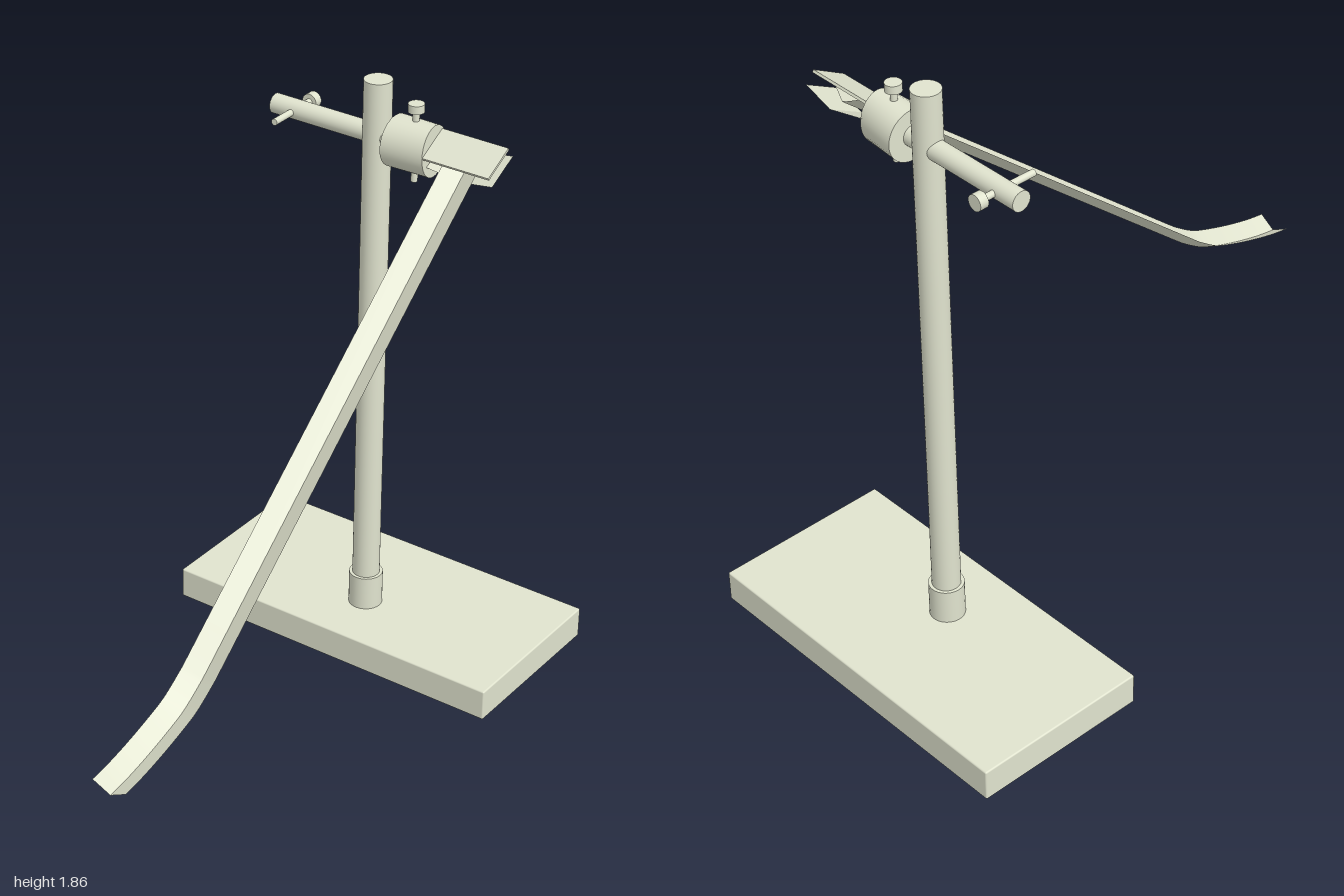
import * as THREE from 'three';
import { RoundedBoxGeometry } from 'three/addons/geometries/RoundedBoxGeometry.js';

const POST_X = 0.64, ARM_Y = 1.69;

export function createModel() {
  const model = new THREE.Group();
  const metal = new THREE.MeshStandardMaterial({ color: 0xe0e3ce });
  const sheetMetal = new THREE.MeshStandardMaterial({ color: 0xe0e3ce, side: THREE.DoubleSide });

  function add(name, geometry, x = 0, y = 0, z = 0, material = metal, parent = model) {
    const mesh = new THREE.Mesh(geometry, material);
    mesh.name = name;
    mesh.position.set(x, y, z);
    parent.add(mesh);
    return mesh;
  }
  const cylinder = (r, length) => new THREE.CylinderGeometry(r, r, length, 32);

  // Sweeps a folded section [z, drop] along a path of [x, y]; folds stay sharp
  function foldedSheet(name, path, section) {
    const group = new THREE.Group();
    group.name = name;
    const normals = path.map((p, i) => {
      const a = path[Math.max(i - 1, 0)], b = path[Math.min(i + 1, path.length - 1)];
      const dx = b[0] - a[0], dy = b[1] - a[1], l = Math.hypot(dx, dy);
      return [-dy / l, dx / l];
    });
    for (let s = 0; s < section.length - 1; s++) {
      const positions = [], index = [];
      path.forEach(([x, y], i) => {
        for (const [z, drop] of [section[s], section[s + 1]])
          positions.push(x - normals[i][0] * drop, y - normals[i][1] * drop, z);
        const k = i * 2;
        if (i < path.length - 1) index.push(k, k + 1, k + 2, k + 1, k + 3, k + 2);
      });
      const geometry = new THREE.BufferGeometry();
      geometry.setAttribute('position', new THREE.Float32BufferAttribute(positions, 3));
      geometry.setIndex(index);
      geometry.computeVertexNormals();
      add(name + 'Side', geometry, 0, 0, 0, sheetMetal, group);
    }
    model.add(group);
  }

  // Screw with its head at the top, pointing down; origin at the shaft centre line
  function screw(name, top, bottom, headHeight) {
    const group = new THREE.Group();
    group.name = name;
    add('screwHead', cylinder(0.024, headHeight), 0, top - headHeight / 2, 0, metal, group);
    add('screwShank', cylinder(0.01, top - bottom - 0.01), 0, (top + bottom) / 2 - 0.005, 0, metal, group);
    model.add(group);
    return group;
  }

  // Stand
  add('base', new RoundedBoxGeometry(0.555, 0.1, 1.126, 2, 0.005), 0.7175, 0.05, 0);
  add('post', cylinder(0.042, 1.76), POST_X, 0.98, 0);
  add('postCollar', cylinder(0.052, 0.11), POST_X, 0.155, 0);

  // Cross arm and its locking screw
  add('crossArm', cylinder(0.03, 0.43), POST_X, ARM_Y, -0.14).rotation.x = Math.PI / 2;
  const armScrew = screw('armScrew', 0.09, -0.11, 0.027);
  armScrew.rotation.z = -Math.PI / 2;
  armScrew.position.set(POST_X, ARM_Y, -0.28);

  // Clamp barrel, narrowing sideways toward the jaws
  const barrel = cylinder(0.079, 0.132).rotateX(Math.PI / 2);
  const p = barrel.attributes.position;
  for (let i = 0; i < p.count; i++)
    if (p.getZ(i) > 0) p.setX(i, p.getX(i) * 0.8);
    else p.setY(i, p.getY(i) * 0.97);
  barrel.computeVertexNormals();
  add('clampBarrel', barrel, POST_X, ARM_Y, 0.128);
  screw('clampScrew', 0.13, -0.11, 0.025).position.set(POST_X, ARM_Y, 0.13);

  // Jaws gripping the ramp
  const upperJaw = add('upperJaw', new THREE.BoxGeometry(0.114, 0.008, 0.23), 0.63, 1.716, 0.297);
  upperJaw.rotation.z = Math.atan2(0.055, 0.1);
  foldedSheet('lowerJaw', [[0.6, 1.657], [0.705, 1.712]], [[0.182, 0], [0.302, 0.024], [0.412, 0]]);

  // V-channel ramp: straight slope ending in a gentle curve
  const slope = 0.84;
  const bend = new THREE.SplineCurve([
    [-1, 0.52], [-0.93, 0.531], [-0.83, 0.556], [-0.72, 0.592], [-0.67, 0.617], [-0.61, 0.658],
  ].map(([x, y]) => new THREE.Vector2(x, y))).getPoints(20).map((v) => [v.x, v.y]);
  const straight = [-0.57, -0.5, 0.655].map((x) => [x, 1.17 + slope * x]);
  foldedSheet('ramp', [...bend, ...straight], [[0.245, 0], [0.301, 0.031], [0.356, 0]]);

  return model;
}
